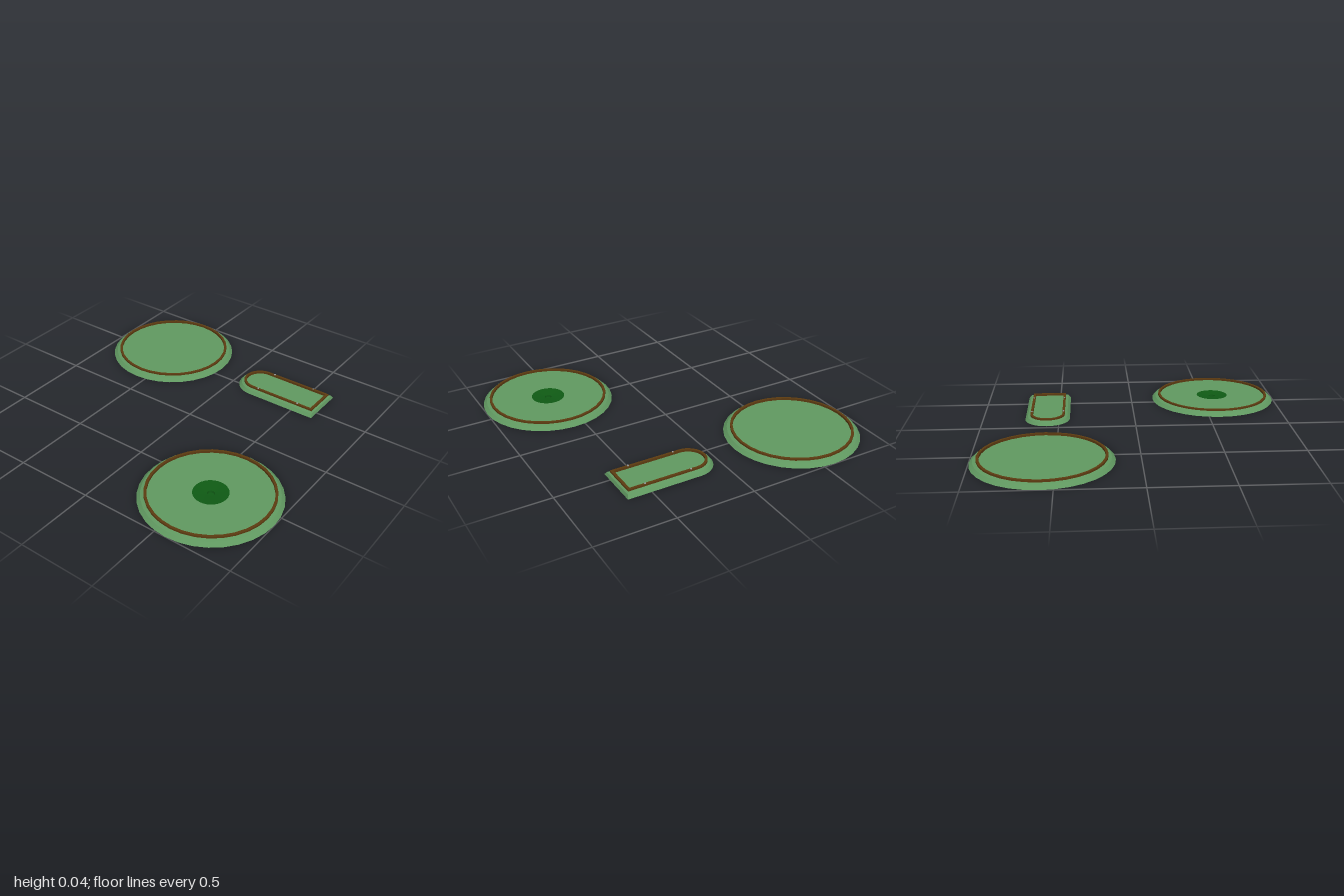
import * as THREE from 'three';
import { toCreasedNormals } from 'three/addons/utils/BufferGeometryUtils.js';

const material = (color) => new THREE.MeshStandardMaterial({ color, side: THREE.DoubleSide });
const turf = material(0x609860);
const darkTurf = material(0x0f5a14);
const wood = material(0x5c3a10);
const metal = material(0x999999);

// outlines run counter-clockwise seen from above
function circle(r, y) {
  const pts = [];
  for (let i = 0; i < 32; i++) {
    const a = (i / 32) * Math.PI * 2;
    pts.push(new THREE.Vector3(r * Math.cos(a), y, -r * Math.sin(a)));
  }
  return pts;
}

// rounded back end, straight sides, square front end
function arch(r, y, front) {
  const pts = [];
  for (let i = 0; i <= 16; i++) {
    const a = (i / 16) * Math.PI;
    pts.push(new THREE.Vector3(r * Math.cos(a), y, -r * Math.sin(a)));
  }
  pts.push(new THREE.Vector3(-r, y, front), new THREE.Vector3(r, y, front));
  return pts;
}

// all outline points gathered in one spot, to close a surface
const point = (count, y, z = 0) => Array.from({ length: count }, () => new THREE.Vector3(0, y, z));

// surface through a series of outlines
function loft(name, levels, mat) {
  const n = levels[0].length;
  const pos = [];
  const tri = (a, b, c) => {
    if (a.equals(b) || b.equals(c) || a.equals(c)) return;
    for (const p of [a, b, c]) pos.push(p.x, p.y, p.z);
  };
  for (let j = 0; j < levels.length - 1; j++) {
    for (let i = 0; i < n; i++) {
      const k = (i + 1) % n;
      tri(levels[j][i], levels[j][k], levels[j + 1][k]);
      tri(levels[j][i], levels[j + 1][k], levels[j + 1][i]);
    }
  }
  const geo = new THREE.BufferGeometry();
  geo.setAttribute('position', new THREE.Float32BufferAttribute(pos, 3));
  const mesh = new THREE.Mesh(toCreasedNormals(geo, 0.4), mat);
  mesh.name = name;
  return mesh;
}

const FLOOR = 0.024;
const TOP = 0.038;

// round green, optionally with a sunken hole
function roundGreen(name, hasHole) {
  const g = new THREE.Group();
  g.name = name;
  const inner = 0.367, outer = 0.383;
  g.add(loft('skirt', [circle(0.425, 0), circle(0.403, 0.021), circle(outer, 0.027)], turf));
  g.add(loft('border', [
    circle(inner, 0.022), circle(outer, 0.022), circle(outer, TOP),
    circle(inner, TOP), circle(inner, 0.022),
  ], wood));
  const floorEnd = hasHole ? circle(0.107, FLOOR) : point(32, FLOOR);
  g.add(loft('floor', [circle(inner, FLOOR), floorEnd], turf));
  if (hasHole) {
    g.add(loft('hole', [
      circle(0.107, FLOOR), circle(0.06, 0.021), circle(0.022, 0.017),
      circle(0.02, 0.004), point(32, 0.004),
    ], darkTurf));
  }
  return g;
}

// starting lane with one rounded end
function startLane() {
  const g = new THREE.Group();
  g.name = 'startLane';
  const inner = 0.097, outer = 0.113, zIn = 0.44, zOut = 0.457;
  g.add(loft('skirt', [
    arch(0.147, 0, 0.476), arch(0.13, 0.021, 0.468), arch(outer, 0.027, zOut),
  ], turf));
  g.add(loft('border', [
    arch(inner, 0.022, zIn), arch(outer, 0.022, zOut), arch(outer, TOP, zOut),
    arch(inner, TOP, zIn), arch(inner, 0.022, zIn),
  ], wood));
  const edge = arch(inner, FLOOR, zIn);
  g.add(loft('floor', [edge, point(edge.length, FLOOR, 0.15)], turf));

  // small studs on the side rails
  for (const x of [-0.105, 0.105]) {
    for (const z of [0.045, 0.345]) {
      const stud = new THREE.Mesh(new THREE.CylinderGeometry(0.006, 0.006, 0.006, 8), metal);
      stud.name = 'stud';
      stud.position.set(x, TOP + 0.001, z);
      g.add(stud);
    }
  }
  return g;
}

export function createModel() {
  const model = new THREE.Group();
  model.name = 'minigolfPieces';

  const holeGreen = roundGreen('holeGreen', true);
  holeGreen.position.set(-0.575, 0, 0.575);

  const plainGreen = roundGreen('plainGreen', false);
  plainGreen.position.set(0.575, 0, -0.575);

  const lane = startLane();
  lane.position.set(0.575, 0, 0.175);

  model.add(holeGreen, plainGreen, lane);
  return model;
}
